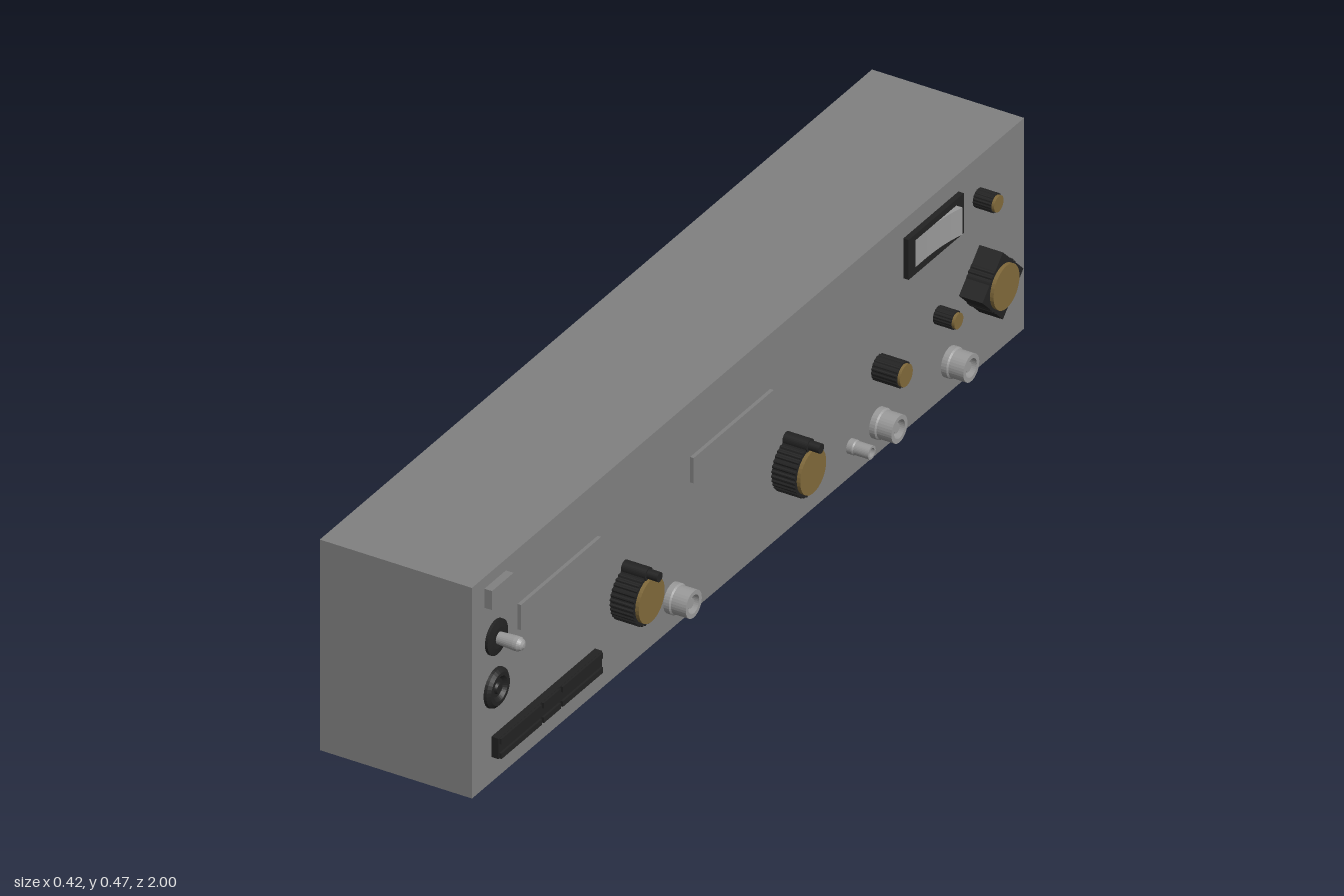
import * as THREE from 'three';

const PANEL = 0.127; // x of the control panel face

export function createModel() {
  const model = new THREE.Group();
  const mat = (name, color) => {
    const m = new THREE.MeshStandardMaterial({ color });
    m.name = name;
    return m;
  };
  const grey = mat('case grey', 0x808080);
  const black = mat('control black', 0x222222);
  const gold = mat('cap gold', 0x80693a);
  const silver = mat('metal silver', 0x9a9a9a);

  const add = (name, geo, m, x, y, z, parent = model) => {
    const mesh = new THREE.Mesh(geo, m);
    mesh.name = name;
    mesh.position.set(x, y, z);
    parent.add(mesh);
    return mesh;
  };
  // box standing on the panel, from x0 to x1 above its face
  const plate = (name, m, y, z, h, w, x0, x1) =>
    add(name, new THREE.BoxGeometry(x1 - x0, h, w), m, PANEL + (x0 + x1) / 2, y, z);
  // lathe whose axis points out of the panel; points are [radius, height]
  const turned = (name, m, y, z, pts, seg = 32) => {
    const geo = new THREE.LatheGeometry(pts.map(p => new THREE.Vector2(...p)), seg).toNonIndexed();
    geo.computeVertexNormals();
    geo.rotateZ(-Math.PI / 2);
    return add(name, geo, m, PANEL, y, z);
  };
  const disc = (name, m, y, z, r, x0, x1) =>
    turned(name, m, y, z, [[0, x0], [r, x0], [r, x1], [0, x1]]);
  // shape extruded outward from the panel
  const extruded = (name, m, shape, y, z, depth) => {
    const geo = new THREE.ExtrudeGeometry(shape, { depth, bevelEnabled: false });
    geo.rotateY(Math.PI / 2);
    return add(name, geo, m, PANEL, y, z);
  };
  // grooved outline, optionally with points at top and bottom
  const grip = (r, teeth, pointed) => {
    const pts = [];
    for (let i = 0; i < teeth * 4; i++) {
      const a = (i / (teeth * 4)) * Math.PI * 2;
      let k = i % 4 < 2 ? r : r * 0.95;
      if (pointed) k = Math.max(k, Math.min(r * 1.35, (r * 1.35) / (Math.abs(Math.sin(a)) + Math.abs(Math.cos(a)))));
      pts.push(new THREE.Vector2(Math.cos(a) * k, Math.sin(a) * k));
    }
    return new THREE.Shape(pts);
  };

  // case
  add('case', new THREE.BoxGeometry(0.337, 0.466, 2), grey, -0.0415, 0.233, 0);

  // indicator window and display windows
  plate('indicatorLamp', grey, 0.42, 0.916, 0.042, 0.078, 0, 0.017);
  plate('displayWindow', grey, 0.317, 0.69, 0.056, 0.29, 0, 0.008);
  plate('displayWindow', grey, 0.317, 0.065, 0.056, 0.29, 0, 0.008);

  // toggle switch
  turned('toggleCollar', black, 0.315, 0.916, [[0.037, 0], [0.037, 0.006], [0.022, 0.009], [0, 0.009]]);
  turned('toggleLever', silver, 0.315, 0.916,
    [[0.012, 0], [0.015, 0.046], [0.0145, 0.054], [0.0105, 0.061], [0.005, 0.0645], [0, 0.065]], 24);

  // dished socket
  turned('socket', black, 0.203, 0.916,
    [[0.042, 0], [0.041, 0.006], [0.034, 0.012], [0.026, 0.012], [0.019, 0.005], [0.012, 0.005], [0.01, 0.01], [0, 0.01]]);

  // terminal strip with three raised sections
  plate('terminalStrip', black, 0.078, 0.742, 0.045, 0.375, 0, 0.016);
  for (const [z, w] of [[0.854, 0.146], [0.743, 0.062], [0.632, 0.146]]) {
    plate('terminalRail', black, 0.094, z, 0.012, w, 0.015, 0.021);
    plate('terminalRail', black, 0.062, z, 0.012, w, 0.015, 0.021);
  }

  // large knobs, two with a lock post above
  for (const [y, z, pointed] of [[0.17, 0.447, false], [0.15, -0.138, false], [0.195, -0.838, true]]) {
    extruded(pointed ? 'pointerKnob' : 'tuningKnob', black, grip(0.055, 32, pointed), y, z, 0.052);
    disc('knobCap', gold, y, z, 0.047, 0.05, 0.06);
    if (!pointed) {
      disc('lockBase', black, y + 0.056, z, 0.014, 0, 0.054);
      disc('lockPost', black, y + 0.057, z, 0.01, 0.05, 0.078);
    }
  }

  // small knobs
  for (const [y, z, r, h] of [[0.19, -0.472, 0.027, 0.062], [0.193, -0.688, 0.019, 0.046], [0.377, -0.833, 0.02, 0.046]]) {
    extruded('smallKnob', black, grip(r, 18, false), y, z, h - 0.006);
    disc('smallKnobCap', gold, y, z, r * 0.86, h - 0.007, h);
  }

  // coaxial sockets, open tubes with a centre pin
  const coaxial = (z, r) => {
    turned('coaxialSocket', silver, 0.068, z,
      [[r * 1.1, 0], [r * 1.1, 0.012], [r, 0.015], [r, 0.048], [r * 0.68, 0.048], [r * 0.68, 0.02], [0, 0.02]]);
    disc('centrePin', silver, 0.068, z, r * 0.35, 0.02, 0.042);
  };
  for (const z of [0.275, -0.47, -0.73]) coaxial(z, 0.029);
  coaxial(-0.37, 0.014);

  // rocker switch: open frame around a curved, tilted rocker
  const frame = new THREE.Shape([[-0.1, -0.044], [0.1, -0.044], [0.1, 0.044], [-0.1, 0.044]].map(p => new THREE.Vector2(...p)));
  frame.holes.push(new THREE.Path([[-0.076, -0.031], [-0.076, 0.031], [0.076, 0.031], [0.076, -0.031]].map(p => new THREE.Vector2(...p))));
  extruded('rockerFrame', black, frame, 0.383, -0.662, 0.012);
  const rocker = new THREE.Shape();
  rocker.moveTo(-0.074, 0);
  rocker.lineTo(0.074, 0);
  rocker.lineTo(0.074, 0.025);
  rocker.quadraticCurveTo(0.02, 0.008, -0.074, 0.011);
  const rockerGeo = new THREE.ExtrudeGeometry(rocker, { depth: 0.06, bevelEnabled: false, curveSegments: 12 });
  rockerGeo.translate(0, 0, -0.03);
  // profile x runs toward -z, profile y points out of the panel
  rockerGeo.applyMatrix4(new THREE.Matrix4().makeBasis(
    new THREE.Vector3(0, 0, -1), new THREE.Vector3(1, 0, 0), new THREE.Vector3(0, -1, 0)));
  add('rocker', rockerGeo, silver, PANEL, 0.383, -0.662);

  return model;
}
